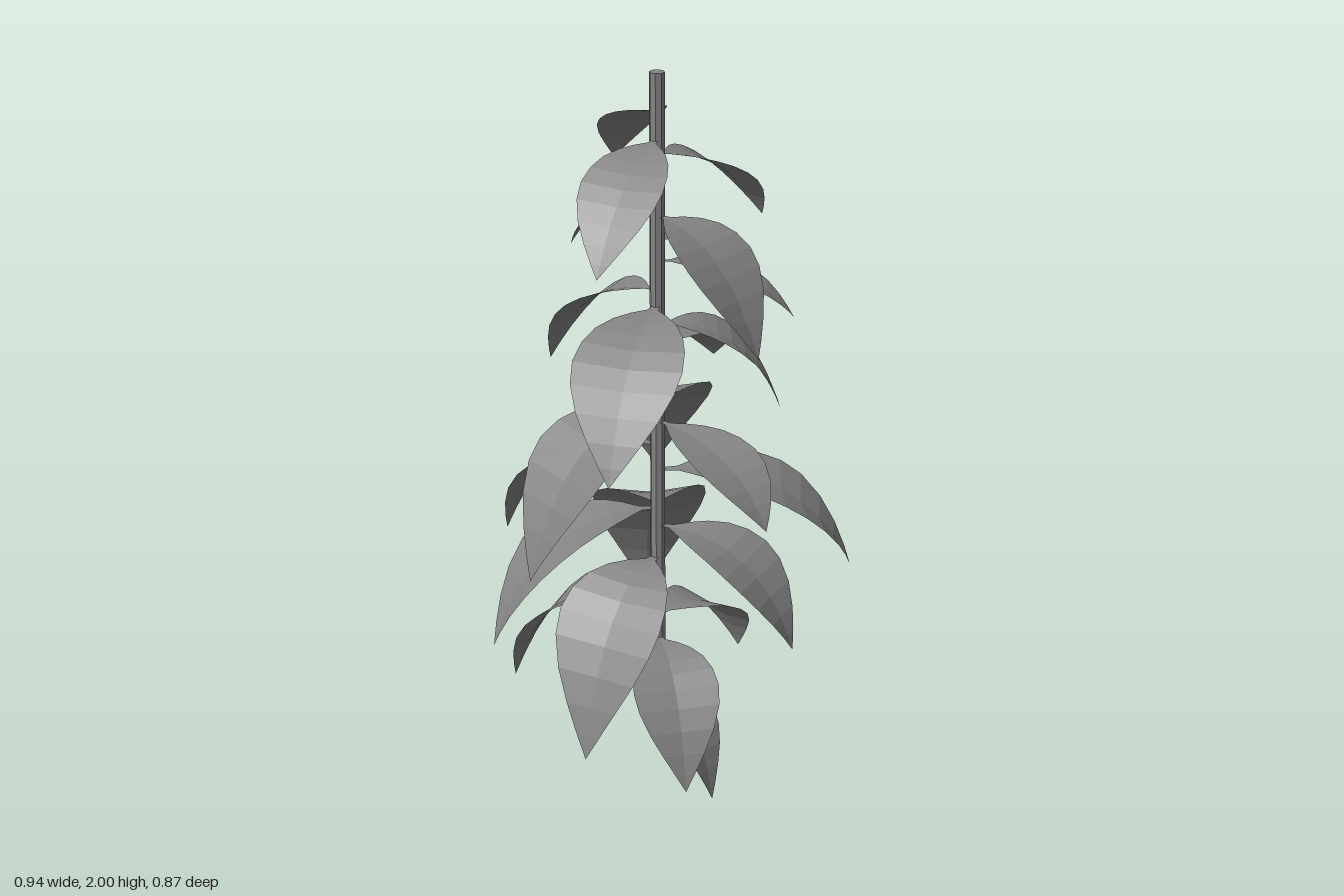
import * as THREE from 'three';

const COLOR = 0x848484;
const STEM = { x: -0.024, z: 0.014, radius: 0.02, bottom: 0.195, top: 2 };

// One leaf per row: height on the stem, tip x, tip y, tip z, blade width
const LEAVES = [
  [1.90, -0.19, 1.70, -0.225, 0.175],
  [1.83, -0.10, 1.57, 0.35, 0.22],
  [1.79, 0.20, 1.57, -0.23, 0.23],
  [1.69, -0.255, 1.53, -0.01, 0.15],
  [1.63, 0.265, 1.32, 0.16, 0.25],
  [1.56, 0.055, 1.45, -0.235, 0.14],
  [1.51, 0.315, 1.355, -0.065, 0.175],
  [1.43, -0.345, 1.165, -0.125, 0.21],
  [1.39, -0.055, 1.06, 0.435, 0.285],
  [1.34, 0.28, 1.09, -0.09, 0.225],
  [1.27, 0.035, 1.085, -0.435, 0.24],
  [1.11, -0.295, 0.72, 0.31, 0.31],
  [1.11, -0.13, 0.75, -0.425, 0.31],
  [1.07, 0.31, 0.90, 0.265, 0.20],
  [1.00, -0.47, 0.665, -0.10, 0.28],
  [0.93, 0.475, 0.65, -0.10, 0.30],
  [0.82, -0.425, 0.47, 0.215, 0.27],
  [0.82, -0.14, 0.39, -0.355, 0.31],
  [0.77, 0.36, 0.495, 0.12, 0.25],
  [0.68, -0.14, 0.245, 0.37, 0.30],
  [0.56, -0.455, 0.215, -0.09, 0.28],
  [0.50, 0.14, 0.27, -0.29, 0.21],
  [0.44, 0.115, 0.14, 0.305, 0.23],
  [0.38, 0.07, 0.11, -0.125, 0.13],
  [0.27, 0.145, 0.0, 0.10, 0.17],
];

// Stations along a leaf: position from stalk to tip, share of the full width
const OUTLINE = [
  [0, 0.06], [0.07, 0.1], [0.13, 0.34], [0.2, 0.58], [0.29, 0.8], [0.39, 0.94],
  [0.5, 1], [0.61, 0.94], [0.73, 0.75], [0.84, 0.48], [0.93, 0.22], [1, 0],
];
const FOLD = 0.12; // how far the edges rise above the midrib

// An arching blade with a stalk, folded along its midrib
function leafGeometry([y, tipX, tipY, tipZ, width]) {
  const root = new THREE.Vector3(STEM.x, y, STEM.z);
  const tip = new THREE.Vector3(tipX, tipY, tipZ);
  // Lower leaves arch higher and hang more steeply; upper ones are straighter
  const young = Math.max(0, y - 1);
  const bend = root.clone().lerp(tip, 0.76 - 0.15 * young).setY(y + 0.025 - 0.06 * young);
  const midrib = new THREE.QuadraticBezierCurve3(root, bend, tip);
  const outward = tip.clone().sub(root).setY(0).normalize();
  const side = new THREE.Vector3(0, 1, 0).cross(outward);

  const positions = [];
  const index = [];
  OUTLINE.forEach(([t, share], i) => {
    const half = (share * width) / 2;
    const centre = midrib.getPoint(t);
    const normal = midrib.getTangent(t).cross(side).normalize();
    for (const k of [-1, 0, 1]) {
      const p = centre.clone().addScaledVector(side, k * half);
      p.addScaledVector(normal, Math.abs(k) * half * FOLD);
      positions.push(p.x, p.y, p.z);
    }
    if (i === 0) return;
    for (const k of [0, 1]) {
      const a = (i - 1) * 3 + k;
      const b = a + 3;
      index.push(a, b, a + 1, a + 1, b, b + 1);
    }
  });

  const geometry = new THREE.BufferGeometry();
  geometry.setAttribute('position', new THREE.Float32BufferAttribute(positions, 3));
  geometry.setIndex(index);
  geometry.computeVertexNormals();
  return geometry;
}

export function createModel() {
  const model = new THREE.Group();
  model.name = 'hangingVine';

  const stemMaterial = new THREE.MeshStandardMaterial({ color: COLOR, flatShading: true });
  const leafMaterial = new THREE.MeshStandardMaterial({
    color: COLOR, flatShading: true, side: THREE.DoubleSide,
  });

  // Straight stem
  const height = STEM.top - STEM.bottom;
  const stem = new THREE.Mesh(
    new THREE.CylinderGeometry(STEM.radius, STEM.radius, height, 8), stemMaterial);
  stem.name = 'stem';
  stem.position.set(STEM.x, STEM.bottom + height / 2, STEM.z);
  model.add(stem);

  // Leaves spiralling down the stem
  const foliage = new THREE.Group();
  foliage.name = 'foliage';
  LEAVES.forEach((data, i) => {
    const leaf = new THREE.Mesh(leafGeometry(data), leafMaterial);
    leaf.name = `leaf${i + 1}`;
    foliage.add(leaf);
  });
  model.add(foliage);

  return model;
}
